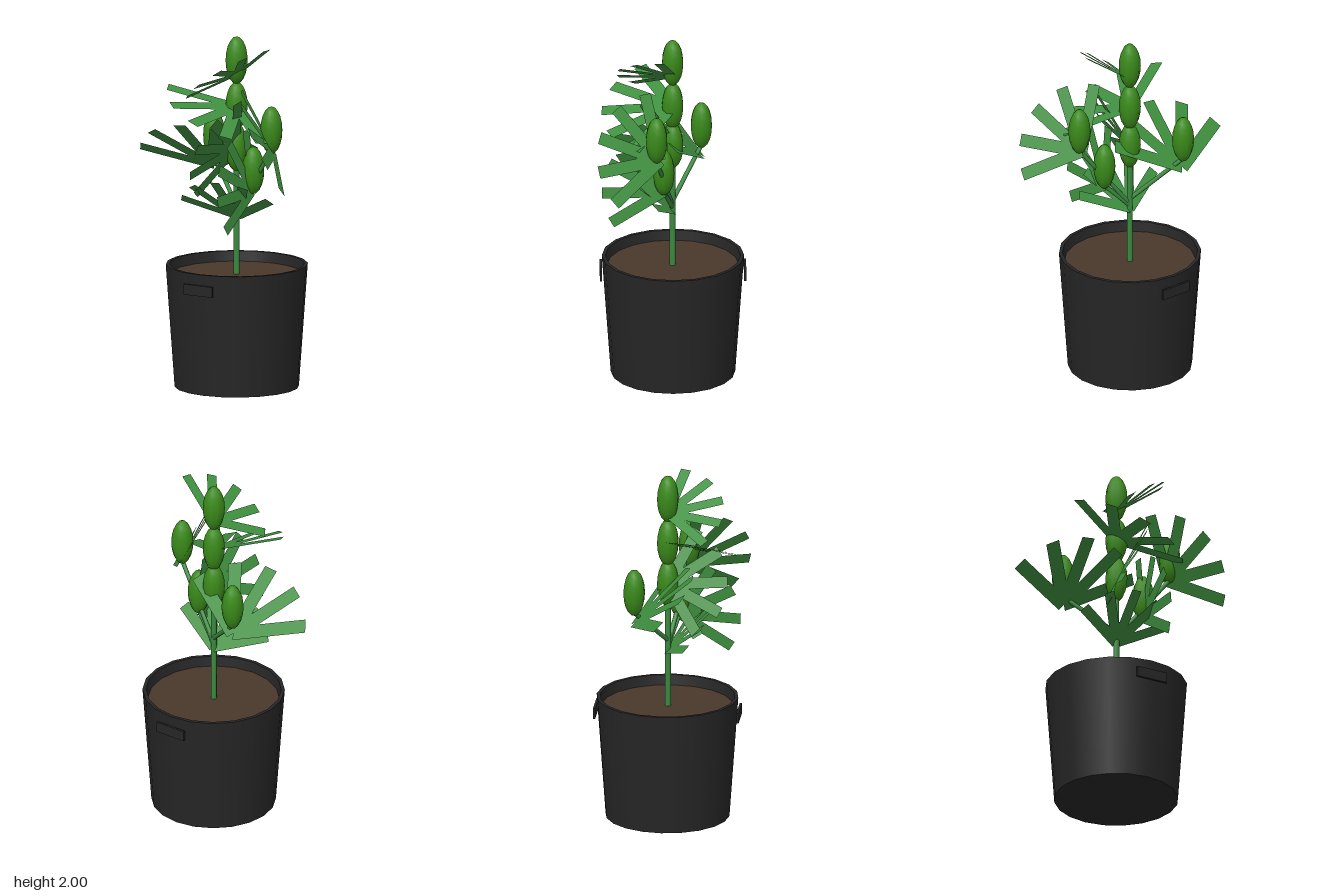
import * as THREE from 'three';
import { mergeGeometries } from 'three/addons/utils/BufferGeometryUtils.js';

const V = (a) => new THREE.Vector3(...a);
const mat = (color, side = THREE.FrontSide) => new THREE.MeshStandardMaterial({ color, side });
const AX = 0.07, AZ = -0.013; // axis of pot and main stem

export function createModel() {
  const root = new THREE.Group();
  const potMat = mat(0x262626);
  const soilMat = mat(0x4a372b);
  const stemMat = mat(0x3c8a3f);
  const leafMat = mat(0x3f8f3f, THREE.DoubleSide);
  const budMat = mat(0x3a8a1a);

  const add = (name, geometry, material, pos = [0, 0, 0], parent = root) => {
    const mesh = new THREE.Mesh(geometry, material);
    mesh.name = name;
    mesh.position.set(...pos);
    parent.add(mesh);
    return mesh;
  };

  // Pot: tapered wall, closed base, thin rim and inner wall down to the soil
  const profile = (pts) => new THREE.LatheGeometry(pts.map((p) => new THREE.Vector2(...p)), 20);
  const pot = new THREE.Group();
  pot.name = 'pot';
  pot.position.set(AX, 0, AZ - 0.002);
  root.add(pot);
  add('potBase', profile([[0, 0], [0.35, 0]]), potMat, [0, 0, 0], pot);
  add('potWall', profile([[0.35, 0], [0.4, 0.7]]), potMat, [0, 0, 0], pot);
  add('potRim', profile([[0.4, 0.7], [0.38, 0.7]]), potMat, [0, 0, 0], pot);
  add('potInnerWall', profile([[0.38, 0.7], [0.367, 0.63]]), potMat, [0, 0, 0], pot);
  add('soil', profile([[0.371, 0.643], [0, 0.643]]), soilMat, [0, 0, 0], pot);
  for (const s of [1, -1]) {
    add(s > 0 ? 'frontHandle' : 'backHandle', new THREE.BoxGeometry(0.19, 0.06, 0.013),
      potMat, [0, 0.61, s * 0.405], pot);
  }

  // Straight stem or branch between two points
  const rod = (name, a, b, r0, r1) => {
    const from = V(a), dir = V(b).sub(from), len = dir.length();
    const g = new THREE.CylinderGeometry(r1, r0, len, 8).translate(0, len / 2, 0);
    const mesh = add(name, g, stemMat, a);
    mesh.quaternion.setFromUnitVectors(new THREE.Vector3(0, 1, 0), dir.normalize());
  };
  rod('mainStem', [AX, 0.63, AZ], [AX, 1.85, AZ], 0.017, 0.016);

  // Buds: upright ellipsoids, three on the stem and one on each branch
  const budGeo = new THREE.SphereGeometry(1, 10, 10).scale(0.062, 0.136, 0.062);
  const branches = [
    { start: 1.03, bud: [-0.183, 1.385, -0.177] },
    { start: 1.0, bud: [0.36, 1.508, 0.08] },
    { start: 0.99, bud: [0.213, 1.257, 0.038] },
  ];
  for (const { start, bud } of branches) {
    const [x, y, z] = bud;
    rod('branch', [AX, start, AZ], [x, y - 0.12, z], 0.013, 0.012);
    add('sideBud', budGeo, budMat, bud);
  }
  for (const y of [1.864, 1.605, 1.365]) add('stemBud', budGeo, budMat, [AX, y, AZ]);

  // Leaf: flat fan of five strips, given by its root, middle tip and a tip to one side
  const leaf = (name, origin, centreTip, sideTip) => {
    const o = V(origin);
    const mid = V(centreTip).sub(o), len = mid.length();
    mid.normalize();
    const side = V(sideTip).sub(o);
    side.addScaledVector(mid, -side.dot(mid)).normalize();
    const normal = new THREE.Vector3().crossVectors(side, mid);
    const strips = [-60, -30, 0, 30, 60].map((deg) =>
      new THREE.PlaneGeometry(0.185 * len, len).translate(0, len / 2, 0)
        .rotateZ(THREE.MathUtils.degToRad(deg)));
    const g = mergeGeometries(strips);
    g.applyMatrix4(new THREE.Matrix4().makeBasis(side, mid, normal));
    add(name, g, leafMat, origin);
  };
  leaf('topLeaf', [AX, 1.78, AZ], [0.13, 1.845, 0.29], [0.31, 1.95, 0.06]);
  leaf('upperLeaf', [AX, 1.6, AZ], [0.03, 1.56, 0.385], [-0.29, 1.72, 0.1]);
  leaf('middleLeaf', [AX, 1.36, AZ], [0.02, 1.4, 0.33], [0.14, 1.58, 0.15]);
  leaf('lowerLeaf', [AX, 0.97, AZ], [0.07, 1.2, 0.22], [0.34, 1.12, 0.11]);
  leaf('rightBranchLeaf', [-0.18, 1.21, -0.17], [-0.205, 1.49, 0.155], [-0.55, 1.33, 0.02]);
  leaf('leftBranchLeaf', [0.36, 1.39, 0.06], [0.42, 1.55, 0.4], [0.565, 1.24, 0.32]);
  leaf('shortBranchLeaf', [0.21, 1.14, 0.04], [0.18, 1.3, 0.345], [0.17, 1.48, 0.15]);

  return root;
}
